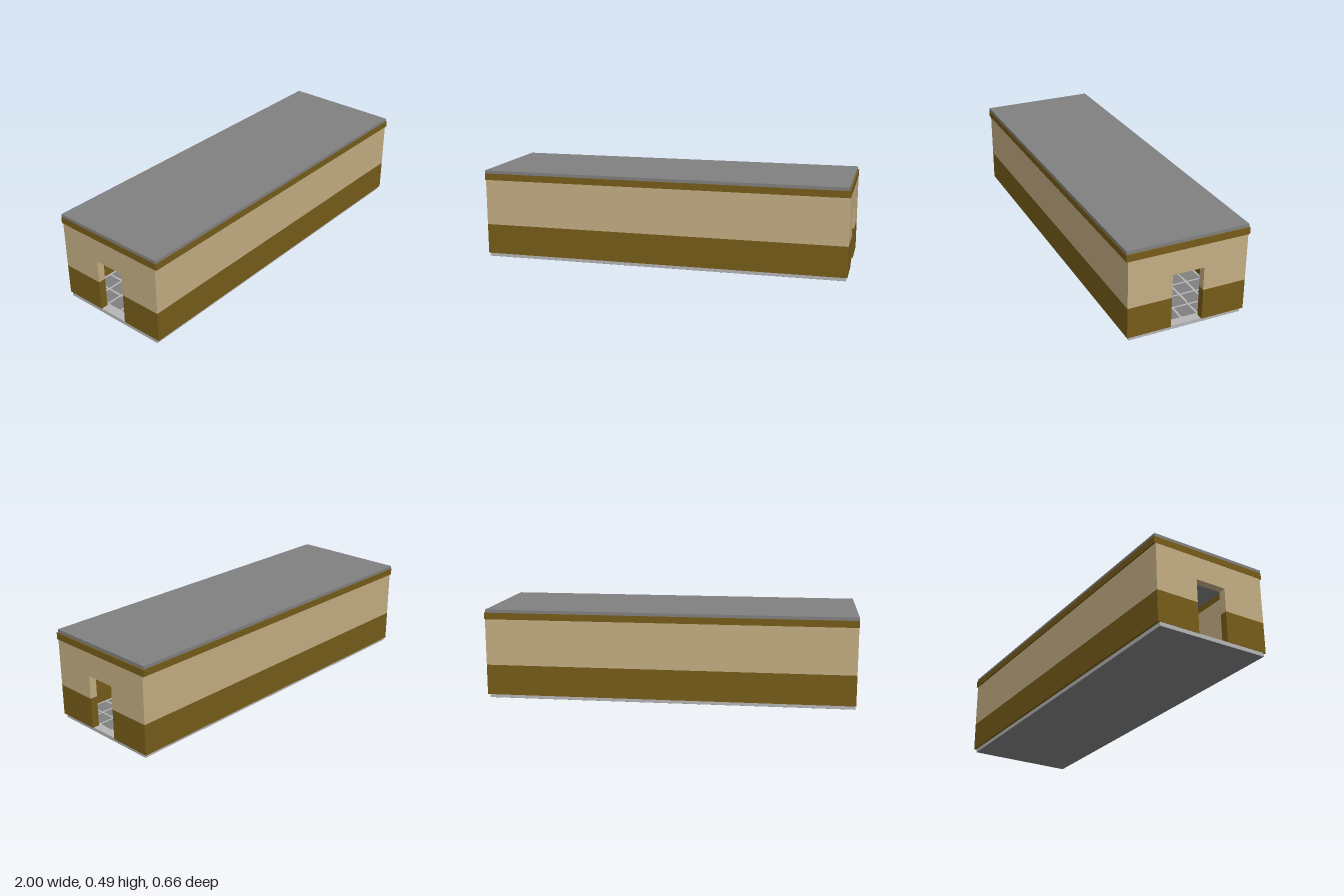
import * as THREE from 'three';
import { mergeGeometries } from 'three/addons/utils/BufferGeometryUtils.js';

const mat = (color) => new THREE.MeshStandardMaterial({ color });
const TAN = mat(0xc3ad83), BROWN = mat(0x765c1a), ROOF = mat(0x808080), SLAB = mat(0xb6b6b6);

// Box given by its extents on each axis
function boxGeo(x0, x1, y0, y1, z0, z1) {
  return new THREE.BoxGeometry(x1 - x0, y1 - y0, z1 - z0)
    .translate((x0 + x1) / 2, (y0 + y1) / 2, (z0 + z1) / 2);
}

// One horizontal band of the shell; doorHalf > 0 leaves a gap in both end walls
function band(y0, y1, X, Z, t, doorHalf = 0) {
  const parts = [];
  for (const s of [-1, 1]) {
    const [za, zb] = s > 0 ? [Z - t, Z] : [-Z, t - Z];
    const [xa, xb] = s > 0 ? [X - t, X] : [-X, t - X];
    parts.push(boxGeo(-X, X, y0, y1, za, zb));
    if (doorHalf) {
      parts.push(boxGeo(xa, xb, y0, y1, doorHalf, Z - t));
      parts.push(boxGeo(xa, xb, y0, y1, t - Z, -doorHalf));
    } else {
      parts.push(boxGeo(xa, xb, y0, y1, t - Z, Z - t));
    }
  }
  return mergeGeometries(parts);
}

export function createModel() {
  const group = new THREE.Group();
  const add = (name, geometry, material) => {
    const mesh = new THREE.Mesh(geometry, material);
    mesh.name = name;
    group.add(mesh);
  };

  const X = 0.999, Z = 0.321, T = 0.04, DOOR = 0.085;

  // Floor slab with a darker underside
  add('floorSlab', boxGeo(-0.997, 0.991, 0.001, 0.021, -0.308, 0.309), SLAB);
  add('slabUnderside', boxGeo(-0.996, 0.99, 0, 0.002, -0.307, 0.308), ROOF);

  // Grey floor panels with pale joints
  const panels = [], nx = 20, nz = 6, px = 1.9 / nx, pz = 0.55 / nz, gap = 0.006;
  for (let i = 0; i < nx; i++) {
    for (let j = 0; j < nz; j++) {
      const x = -0.95 + i * px, z = -0.275 + j * pz;
      panels.push(boxGeo(x + gap, x + px - gap, 0.02, 0.0218, z + gap, z + pz - gap));
    }
  }
  add('floorPanels', mergeGeometries(panels), ROOF);

  // Two-tone walls with a doorway in each end
  add('lowerWalls', band(0.021, 0.187, X, Z, T, DOOR), BROWN);
  add('upperWalls', band(0.187, 0.313, X, Z, T, DOOR), TAN);
  add('wallsAboveDoors', band(0.313, 0.441, X, Z, T), TAN);

  // Projecting fascia under the roof
  add('fascia', band(0.441, 0.477, 1, 0.33, T + 0.009), BROWN);

  // Flat roof
  add('roof', boxGeo(-0.999, 0.993, 0.477, 0.494, -0.327, 0.328), ROOF);

  return group;
}
